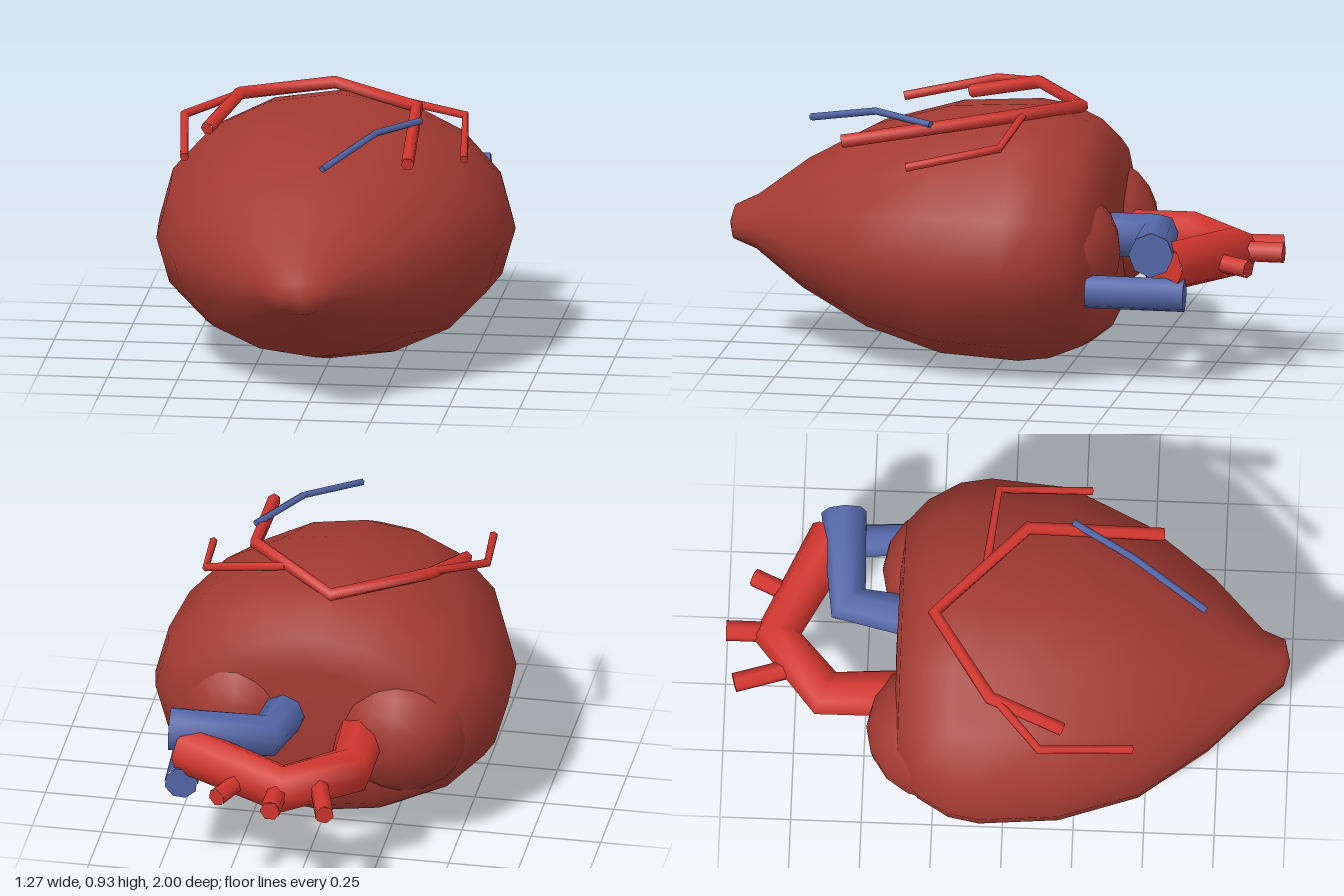
import * as THREE from 'three';
import { mergeVertices } from 'three/addons/utils/BufferGeometryUtils.js';

const mat = (name, color) => {
  const m = new THREE.MeshStandardMaterial({ color });
  m.name = name;
  return m;
};

// Straight-segment path whose corners fall exactly on the tube rings
class Polyline extends THREE.Curve {
  constructor(points) {
    super();
    this.points = points.map(p => new THREE.Vector3(...p));
  }
  getPoint(t, target = new THREE.Vector3()) {
    const n = this.points.length - 1;
    const i = Math.min(Math.floor(t * n + 1e-6), n - 1);
    return target.lerpVectors(this.points[i], this.points[i + 1], t * n - i);
  }
  getPointAt(u, target) { return this.getPoint(u, target); }
  getTangentAt(u, target = new THREE.Vector3()) {
    const p = this.points, n = p.length - 1, i = Math.round(u * n);
    target.set(0, 0, 0);
    if (i > 0) target.add(p[i].clone().sub(p[i - 1]).normalize());
    if (i < n) target.add(p[i + 1].clone().sub(p[i]).normalize());
    return target.normalize();
  }
}

// Capped vessel following a list of points
function vessel(name, points, radius, sides, material) {
  const group = new THREE.Group();
  group.name = name;
  const curve = new Polyline(points);
  const tube = new THREE.TubeGeometry(curve, points.length - 1, radius, sides, false);
  group.add(new THREE.Mesh(tube, material));
  for (const end of [0, 1]) {
    const cap = new THREE.Mesh(new THREE.CircleGeometry(radius, sides), material);
    const outward = curve.getTangentAt(end).multiplyScalar(end ? 1 : -1);
    cap.quaternion.setFromUnitVectors(new THREE.Vector3(0, 0, 1), outward);
    cap.position.copy(curve.points[end ? points.length - 1 : 0]);
    cap.name = name + 'Cap';
    group.add(cap);
  }
  return group;
}

export function createModel() {
  const model = new THREE.Group();
  model.name = 'heart';
  const muscle = mat('muscle red', 0xa33a32);
  const artery = mat('artery red', 0xd2362e);
  const vein = mat('vein blue', 0x5366a8);

  // Ventricles: turned body lying along z, flattened, with a fuller upper half
  const profile = [
    [0, -0.395], [0.3, -0.39], [0.465, -0.375], [0.55, -0.3], [0.615, -0.19], [0.635, -0.08],
    [0.612, 0.2], [0.5, 0.48], [0.32, 0.72], [0.135, 0.9], [0.085, 0.98], [0, 1],
  ].map(p => new THREE.Vector2(...p));
  let body = new THREE.LatheGeometry(profile, 16).rotateX(Math.PI / 2);
  const pos = body.attributes.position;
  for (let i = 0; i < pos.count; i++) {
    const y = pos.getY(i), z = pos.getZ(i);
    pos.setY(i, 0.443 + y * (y > 0 ? 0.745 : 0.69));
    if (z > 0.4 && z < 0.95) pos.setX(i, pos.getX(i) - 0.018);
  }
  body.deleteAttribute('normal');
  body.deleteAttribute('uv');
  body = mergeVertices(body, 1e-4);
  body.computeVertexNormals();
  const ventricles = new THREE.Mesh(body, muscle);
  ventricles.name = 'ventricles';
  model.add(ventricles);

  // Atria: two rounded lobes at the back
  for (const [name, r, x, y, z] of [
    ['rightAtrium', 0.25, -0.29, 0.42, -0.24],
    ['leftAtrium', 0.235, 0.29, 0.46, -0.22],
  ]) {
    const lobe = new THREE.Mesh(new THREE.SphereGeometry(r, 16, 12), muscle);
    lobe.position.set(x, y, z);
    lobe.name = name;
    model.add(lobe);
  }

  // Great vessels
  model.add(
    vessel('aorta', [[-0.16, 0.42, -0.36], [-0.17, 0.42, -0.64], [0.04, 0.42, -0.82], [0.42, 0.44, -0.63]], 0.088, 8, artery),
    vessel('archBranchRight', [[-0.08, 0.42, -0.76], [-0.14, 0.41, -0.965]], 0.035, 6, artery),
    vessel('archBranchMiddle', [[0.05, 0.425, -0.82], [0.05, 0.425, -1]], 0.037, 6, artery),
    vessel('archBranchLeft', [[0.19, 0.42, -0.76], [0.26, 0.41, -0.91]], 0.033, 6, artery),
    vessel('pulmonaryTrunk', [[0.11, 0.48, -0.34], [0.145, 0.49, -0.57], [0.485, 0.5, -0.6]], 0.08, 8, vein),
    vessel('venaCava', [[0.445, 0.35, -0.36], [0.425, 0.345, -0.71]], 0.06, 8, vein),
  );

  // Coronary vessels over the upper surface
  model.add(
    vessel('coronaryMain', [[-0.43, 0.85, 0.21], [-0.345, 0.915, -0.05], [-0.03, 0.91, -0.26],
      [0.3, 0.915, 0.06], [0.325, 0.83, 0.54]], 0.024, 6, artery),
    vessel('coronaryBranchRight', [[-0.35, 0.915, -0.03], [-0.52, 0.88, 0.13], [-0.48, 0.81, 0.46]], 0.016, 6, artery),
    vessel('coronaryBranchLeft', [[0.17, 0.91, -0.08], [0.46, 0.86, -0.05], [0.495, 0.785, 0.28]], 0.015, 6, artery),
    vessel('coronaryVein', [[0.33, 0.905, 0.22], [0.2, 0.915, 0.44], [0.04, 0.845, 0.7]], 0.013, 6, vein),
  );
  return model;
}
